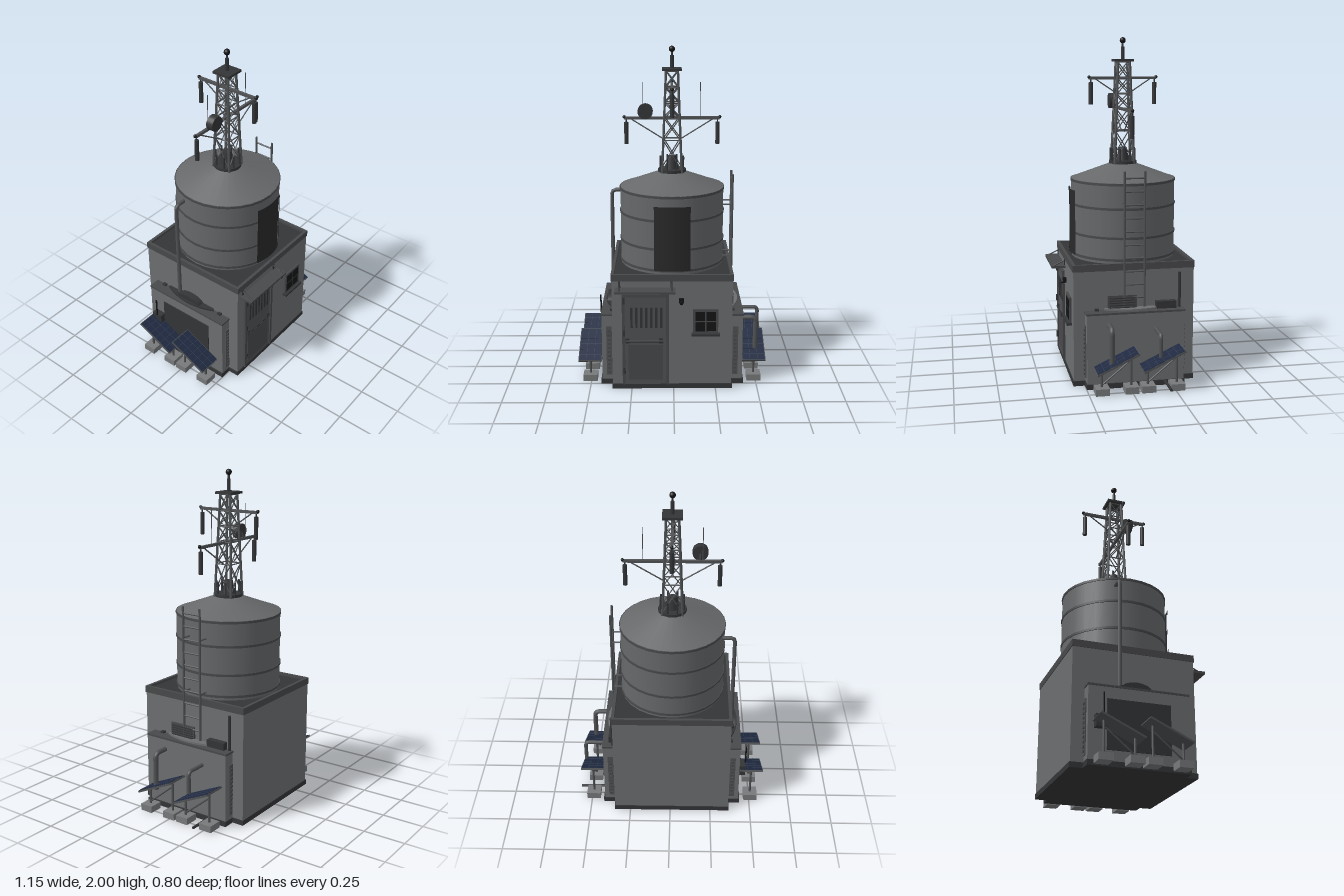
import * as THREE from 'three';

const CX = -0.008, CZ = -0.043; // axis of building, tank and mast
const material = (color, side = THREE.FrontSide) => new THREE.MeshStandardMaterial({ color, side });
const WALL = material(0x6c6e70), TANK = material(0x66686a), TRIM = material(0x48494b), DARK = material(0x343537),
  BLACK = material(0x141516), STEEL = material(0x505254), NAVY = material(0x1f2940), LINE = material(0x364058),
  CONCRETE = material(0x77797a), SIGN = material(0x29292b, THREE.DoubleSide);

function add(parent, name, geometry, mat, x = 0, y = 0, z = 0) {
  const mesh = new THREE.Mesh(geometry, mat);
  mesh.name = name;
  mesh.position.set(x, y, z);
  parent.add(mesh);
  return mesh;
}
// box given by its limits on each axis
function box(parent, name, mat, x0, x1, y0, y1, z0, z1) {
  return add(parent, name, new THREE.BoxGeometry(x1 - x0, y1 - y0, z1 - z0), mat, (x0 + x1) / 2, (y0 + y1) / 2, (z0 + z1) / 2);
}
// round or square bar between two points
function bar(parent, name, mat, a, b, r, sides = 8) {
  const p = new THREE.Vector3(...a), q = new THREE.Vector3(...b);
  const m = add(parent, name, new THREE.CylinderGeometry(r, r, p.distanceTo(q), sides), mat);
  m.position.copy(p).lerp(q, 0.5);
  m.quaternion.setFromUnitVectors(new THREE.Vector3(0, 1, 0), q.sub(p).normalize());
  return m;
}
// pipe with a rounded elbow at the middle point
function elbowPipe(parent, name, mat, a, b, c, r) {
  const [p, q, s] = [a, b, c].map((v) => new THREE.Vector3(...v));
  const bend = 2.2 * r;
  const q1 = q.clone().add(p.clone().sub(q).setLength(bend)), q2 = q.clone().add(s.clone().sub(q).setLength(bend));
  const path = new THREE.CurvePath();
  path.add(new THREE.LineCurve3(p, q1));
  path.add(new THREE.QuadraticBezierCurve3(q1, q, q2));
  path.add(new THREE.LineCurve3(q2, s));
  add(parent, name, new THREE.TubeGeometry(path, 40, r, 10), mat);
  bar(parent, name + 'End', mat, c, q2.toArray(), r * 0.99, 10);
}
function group(parent, name, x = 0, y = 0, z = 0) {
  const g = new THREE.Group();
  g.name = name;
  g.position.set(x, y, z);
  parent.add(g);
  return g;
}

function building(root) {
  const g = group(root, 'building');
  box(g, 'plinth', DARK, -0.367, 0.349, 0, 0.03, -0.4, 0.317);
  box(g, 'walls', WALL, -0.363, 0.345, 0.03, 0.68, -0.396, 0.313);
  box(g, 'roofDeck', DARK, -0.35, 0.33, 0.68, 0.7, -0.385, 0.3);
  for (const z of [-0.4, 0.299]) box(g, 'parapet', TRIM, -0.367, 0.349, 0.676, 0.716, z, z + 0.018);
  for (const x of [-0.367, 0.331]) box(g, 'parapet', TRIM, x, x + 0.018, 0.676, 0.716, -0.382, 0.299);

  // door with slotted window and push bar
  const d = group(g, 'door');
  box(d, 'doorLeaf', STEEL, -0.29, -0.042, 0.03, 0.582, 0.31, 0.319);
  for (const x of [-0.304, -0.044]) box(d, 'doorJamb', TRIM, x, x + 0.016, 0.03, 0.598, 0.31, 0.327);
  box(d, 'doorHead', TRIM, -0.304, -0.028, 0.582, 0.598, 0.31, 0.327);
  for (let i = 0; i < 7; i++) box(d, 'doorSlot', DARK, -0.255 + i * 0.029, -0.241 + i * 0.029, 0.39, 0.515, 0.318, 0.322);
  box(d, 'lowerPanel', TRIM, -0.268, -0.064, 0.06, 0.28, 0.318, 0.321);
  bar(d, 'pushBar', DARK, [-0.28, 0.308, 0.33], [-0.06, 0.308, 0.33], 0.006);
  for (const x of [-0.272, -0.075]) box(d, 'barMount', DARK, x - 0.012, x + 0.012, 0.295, 0.325, 0.318, 0.331);
  for (const y of [0.1, 0.34, 0.54]) box(d, 'hinge', DARK, -0.298, -0.286, y, y + 0.04, 0.32, 0.334);

  // canopy with sloping stays
  const c = group(g, 'canopy');
  box(c, 'canopySlab', TRIM, -0.342, 0.01, 0.624, 0.638, 0.31, 0.396);
  for (const x of [-0.317, -0.012]) {
    bar(c, 'canopyStay', DARK, [x, 0.632, 0.39], [x, 0.667, 0.315], 0.004);
    box(c, 'stayPlate', DARK, x - 0.006, x + 0.006, 0.638, 0.675, 0.312, 0.318);
  }

  // window with four panes
  const w = group(g, 'window');
  box(w, 'windowFrame', TRIM, 0.114, 0.262, 0.352, 0.505, 0.31, 0.326);
  for (const x of [0.128, 0.192]) for (const y of [0.37, 0.434])
    box(w, 'pane', BLACK, x, x + 0.056, y, y + 0.056, 0.32, 0.328);
  box(w, 'windowSill', DARK, 0.104, 0.272, 0.342, 0.356, 0.31, 0.342);

  box(g, 'wallLamp', BLACK, 0.03, 0.06, 0.545, 0.573, 0.31, 0.333);
  bar(g, 'lampHead', BLACK, [0.045, 0.553, 0.32], [0.045, 0.548, 0.345], 0.01);
}

// flat boxes standing against the side walls
function sideBox(root, s) {
  const g = group(root, s > 0 ? 'leftSideBox' : 'rightSideBox', CX);
  const span = (name, mat, a, b, y0, y1, z0, z1) => box(g, name, mat, Math.min(s * a, s * b), Math.max(s * a, s * b), y0, y1, z0, z1);
  span('boxFoot', DARK, 0.35, 0.43, 0, 0.03, -0.328, 0.25);
  span('boxBody', WALL, 0.35, 0.422, 0.03, 0.438, -0.324, 0.246);
  span('boxLid', TRIM, 0.35, 0.427, 0.436, 0.447, -0.329, 0.251);
  for (const z of [-0.331, 0.247]) {
    span('edgeStrip', STEEL, 0.362, 0.395, 0.06, 0.37, z, z + 0.006);
    for (let i = 0; i < 11; i++)
      span('edgeBolt', TRIM, 0.37, 0.386, 0.075 + i * 0.026, 0.087 + i * 0.026, z - 0.006, z + 0.012);
  }
  for (const z of [-0.26, 0.18]) span('lidBracket', DARK, 0.35, 0.375, 0.445, 0.458, z - 0.012, z + 0.012);
  // curved cover on the lid
  add(g, 'curvedCover', new THREE.CylinderGeometry(0.408, 0.408, 0.012, 16, 1, false, s * Math.PI / 2 - 0.46, 0.92), s > 0 ? WALL : DARK, 0, 0.452, CZ);
}

function sideFittings(root) {
  const g = group(root, 'sideFittings');
  // +x wall: louvre, junction box, conduit
  box(g, 'louvreFrame', TRIM, 0.34, 0.356, 0.447, 0.53, -0.055, 0.115);
  for (let i = 0; i < 5; i++) box(g, 'louvreSlat', DARK, 0.35, 0.366, 0.457 + i * 0.014, 0.463 + i * 0.014, -0.045, 0.105);
  box(g, 'junctionBox', DARK, 0.34, 0.38, 0.445, 0.49, -0.285, -0.165);
  bar(g, 'conduit', DARK, [0.355, 0.3, -0.308], [0.355, 0.655, -0.308], 0.009);
  elbowPipe(g, 'ventPipe', STEEL, [0.41, 0.375, 0.118], [0.503, 0.375, 0.118], [0.503, 0.15, 0.118], 0.015);
  elbowPipe(g, 'ventPipe', STEEL, [0.41, 0.34, -0.155], [0.54, 0.34, -0.155], [0.54, 0.21, -0.155], 0.012);
  bar(g, 'drainPipe', DARK, [0.41, 0.024, -0.21], [0.575, 0.024, -0.21], 0.008);
  // -x wall: access panel, meter, hood, downpipe
  box(g, 'accessPanel', DARK, -0.436, -0.428, 0.09, 0.37, -0.22, 0.14);
  box(g, 'meter', DARK, -0.468, -0.425, 0.2, 0.27, -0.29, -0.22);
  bar(g, 'meterRod', BLACK, [-0.47, 0.27, -0.25], [-0.47, 0.39, -0.25], 0.005);
  const hood = bar(g, 'pipeHood', DARK, [-0.405, 0.447, -0.043], [-0.36, 0.447, -0.043], 0.09, 16);
  hood.scale.x = 0.5;
  elbowPipe(g, 'downPipe', STEEL, [-0.3, 1.12, -0.13], [-0.377, 1.12, -0.13], [-0.377, 0.45, -0.13], 0.012);
  bar(g, 'pipeFlange', DARK, [-0.377, 0.447, -0.13], [-0.377, 0.47, -0.13], 0.02, 12);
}

function tank(root) {
  const g = group(root, 'tank', CX, 0, CZ);
  add(g, 'tankWall', new THREE.CylinderGeometry(0.312, 0.312, 0.47, 28), TANK, 0, 0.935, 0);
  add(g, 'tankRoof', new THREE.CylinderGeometry(0.075, 0.315, 0.09, 28), TANK, 0, 1.213, 0);
  for (const y of [0.722, 0.85, 1.02, 1.162])
    add(g, 'tankHoop', new THREE.CylinderGeometry(0.317, 0.317, 0.014, 28), TRIM, 0, y, 0);
  // blank curved sign board
  const arc = (name, r, h, y, a, w, mat) =>
    add(g, name, new THREE.CylinderGeometry(r, r, h, 10, 1, true, a - w / 2, w), mat, 0, y, 0);
  arc('signBoard', 0.322, 0.38, 0.917, 0, 0.64, SIGN);
  for (const y of [0.732, 1.103]) arc('signFrame', 0.328, 0.014, y, 0, 0.66, SIGN);
  for (const a of [-0.315, 0.315]) arc('signFrame', 0.328, 0.385, 0.917, a, 0.03, SIGN);
}

function ladder(root) {
  const g = group(root, 'ladder');
  for (const z of [-0.1, 0.018]) {
    bar(g, 'ladderRail', STEEL, [0.355, 0.45, z], [0.355, 1.247, z], 0.007);
    for (const y of [0.74, 1.062]) bar(g, 'ladderStay', STEEL, [0.28, y, z], [0.355, y, z], 0.005);
  }
  for (let i = 0; i < 10; i++) bar(g, 'rung', STEEL, [0.355, 0.515 + i * 0.077, -0.1], [0.355, 0.515 + i * 0.077, 0.018], 0.005);
}

function mast(root) {
  const g = group(root, 'mast', CX, 0, CZ);
  const y0 = 1.25, y1 = 1.86;
  const half = (y) => 0.059 - 0.024 * (y - y0) / (y1 - y0);
  const corner = (i, y) => [half(y) * [1, 1, -1, -1][i % 4], y, half(y) * [1, -1, -1, 1][i % 4]];
  add(g, 'mastFoot', new THREE.CylinderGeometry(0.084, 0.084, 0.02, 20), DARK, 0, 1.262, 0);
  add(g, 'mastPedestal', new THREE.CylinderGeometry(0.025, 0.04, 0.08, 12), DARK, 0, 1.31, 0);
  for (let i = 0; i < 8; i++) {
    const a = (i + 0.5) * Math.PI / 4;
    bar(g, 'anchorPost', DARK, [0.074 * Math.cos(a), 1.26, 0.074 * Math.sin(a)], [0.074 * Math.cos(a), 1.345, 0.074 * Math.sin(a)], 0.006, 6);
  }
  // tapering lattice
  const levels = [1.27, 1.45, 1.58, 1.67, 1.76, 1.855];
  for (let i = 0; i < 4; i++) {
    bar(g, 'mastLeg', STEEL, corner(i, y0), corner(i, y1), 0.008, 6);
    for (let k = 0; k < 5; k++) {
      bar(g, 'lattice', STEEL, corner(i, levels[k]), corner(i + 1, levels[k + 1]), 0.0035, 5);
      bar(g, 'lattice', STEEL, corner(i + 1, levels[k]), corner(i, levels[k + 1]), 0.0035, 5);
      bar(g, 'latticeTie', STEEL, corner(i, levels[k + 1]), corner(i + 1, levels[k + 1]), 0.004, 5);
    }
  }
  box(g, 'topPlate', DARK, -0.057, 0.057, 1.858, 1.872, -0.057, 0.057);
  bar(g, 'topPost', DARK, [0, 1.87, 0], [0, 1.945, 0], 0.011);
  bar(g, 'topSpike', DARK, [0, 1.94, 0], [0, 1.98, 0], 0.006);
  add(g, 'beacon', new THREE.SphereGeometry(0.018, 16, 12), BLACK, 0, 1.982, 0);

  // two crossed arms carrying hanging tubes
  const arm = (name, y, reach, hang, grip, drop, turn) => {
    const a = group(g, name);
    a.rotation.y = turn;
    box(a, 'armBeam', STEEL, -reach, reach, y - 0.008, y + 0.008, -0.008, 0.008);
    for (const s of [-1, 1]) {
      add(a, 'armCap', new THREE.SphereGeometry(0.01, 10, 8), BLACK, s * reach, y + 0.006, 0);
      bar(a, 'hanger', DARK, [s * hang, y, 0], [s * hang, y - 0.03, 0], 0.004, 6);
      bar(a, 'hangingTube', DARK, [s * hang, y - 0.025, 0], [s * hang, y - 0.155, 0], 0.013, 10);
      bar(a, 'armBrace', STEEL, [s * grip, y - 0.005, 0], [s * 0.045, y - drop, 0], 0.004, 6);
    }
  };
  arm('wideArm', 1.578, 0.284, 0.272, 0.245, 0.13, 0);
  arm('shortArm', 1.762, 0.203, 0.192, 0.165, 0.085, Math.PI / 2);
  for (const x of [-0.172, 0.168]) bar(g, 'whip', STEEL, [x, 1.58, 0], [x, 1.79, 0], 0.0025, 6);
  bar(g, 'drumAntenna', DARK, [-0.158, 1.622, 0.012], [-0.158, 1.622, 0.056], 0.045, 20);
  bar(g, 'drumMount', DARK, [-0.158, 1.58, 0], [-0.158, 1.622, 0.02], 0.008);
}

// tilted panel, low at the front, on posts with concrete feet
function solarPanel(root, x, z) {
  const g = group(root, 'solarPanel', x, 0, z);
  const t = group(g, 'panel', 0, 0.187, 0);
  t.rotation.x = Math.atan2(0.11, 0.236);
  box(t, 'panelFrame', STEEL, -0.072, 0.072, -0.008, 0.003, -0.133, 0.133);
  box(t, 'panelCells', NAVY, -0.068, 0.068, 0.002, 0.005, -0.129, 0.129);
  for (const u of [-0.023, 0.023]) box(t, 'cellLine', LINE, u - 0.001, u + 0.001, 0.004, 0.006, -0.129, 0.129);
  for (let i = -2; i <= 2; i++) box(t, 'cellLine', LINE, -0.068, 0.068, 0.004, 0.006, i * 0.043 - 0.001, i * 0.043 + 0.001);
  for (const [pz, top] of [[0.085, 0.14], [-0.085, 0.22]]) {
    bar(g, 'panelPost', STEEL, [0, 0.03, pz], [0, top, pz], 0.007);
    box(g, 'concreteFoot', CONCRETE, -0.043, 0.043, 0, 0.04, pz - 0.04, pz + 0.04);
  }
  bar(g, 'panelStrut', STEEL, [0, 0.05, 0.085], [0, 0.19, -0.085], 0.005);
}

export function createModel() {
  const root = new THREE.Group();
  root.name = 'waterTower';
  building(root);
  for (const s of [-1, 1]) sideBox(root, s);
  sideFittings(root);
  tank(root);
  ladder(root);
  mast(root);
  for (const x of [-0.507, 0.489]) for (const z of [-0.177, 0.09]) solarPanel(root, x, z);
  return root;
}
